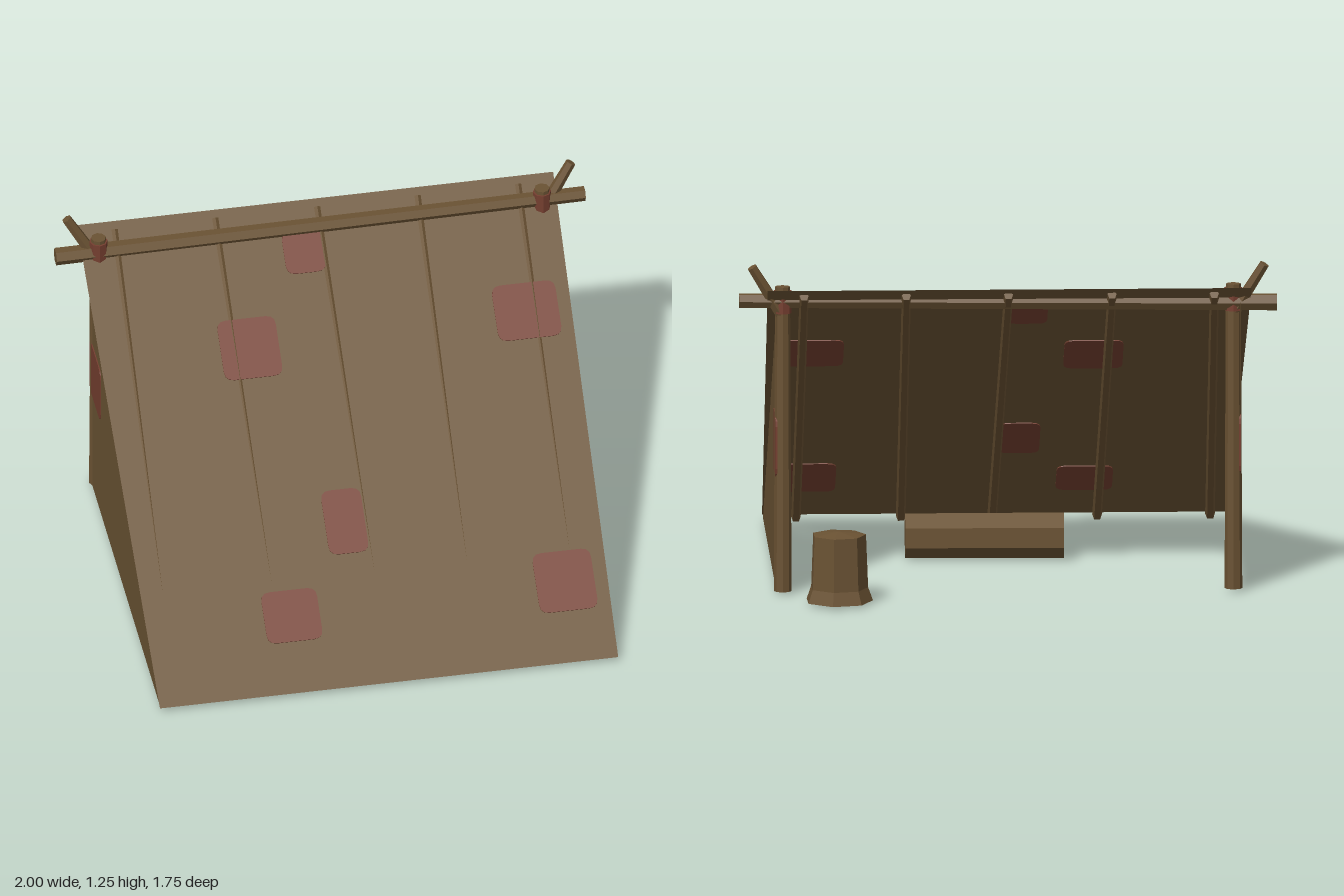
import * as THREE from 'three';

const mat = (name, color, side = THREE.FrontSide) =>
  Object.assign(new THREE.MeshStandardMaterial({ color, side, flatShading: true }), { name });

export function createModel() {
  const model = new THREE.Group();
  model.name = 'leanToShelter';
  const wood = mat('wood', 0x6a5233);
  const hide = mat('hide', 0x6b5434, THREE.DoubleSide);
  const red = mat('redStain', 0x753f30);

  const add = (name, geometry, material, parent = model) => {
    const mesh = new THREE.Mesh(geometry, material);
    mesh.name = name;
    parent.add(mesh);
    return mesh;
  };

  // Straight pole between two points
  const pole = (name, a, b, r0, r1 = r0, sides = 6, material = wood) => {
    const from = new THREE.Vector3(...a), to = new THREE.Vector3(...b);
    const dir = to.clone().sub(from);
    const mesh = add(name, new THREE.CylinderGeometry(r1, r0, dir.length(), sides), material);
    mesh.position.copy(from).add(to).multiplyScalar(0.5);
    mesh.quaternion.setFromUnitVectors(new THREE.Vector3(0, 1, 0), dir.normalize());
    return mesh;
  };

  const polygon = (pts) => new THREE.ShapeGeometry(new THREE.Shape(pts.map((p) => new THREE.Vector2(...p))));

  // Thin rounded patch, centred through the sheet it sits on
  const patch = (x0, x1, y0, y1, parent) => {
    const r = 0.035, s = new THREE.Shape();
    s.moveTo(x0 + r, y0);
    s.lineTo(x1 - r, y0).quadraticCurveTo(x1, y0, x1, y0 + r);
    s.lineTo(x1, y1 - r).quadraticCurveTo(x1, y1, x1 - r, y1);
    s.lineTo(x0 + r, y1).quadraticCurveTo(x0, y1, x0, y1 - r);
    s.lineTo(x0, y0 + r).quadraticCurveTo(x0, y0, x0 + r, y0);
    const g = new THREE.ExtrudeGeometry(s, { depth: 0.008, bevelEnabled: false, curveSegments: 3 });
    g.translate(0, 0, -0.004);
    add('patch', g, red, parent);
  };

  // Sloping roof sheet: local y runs up the slope
  const rise = 1.14, run = 1.5, slope = Math.hypot(rise, run);
  const roof = new THREE.Group();
  roof.name = 'roof';
  roof.position.set(0, 0.03, 0.865);
  roof.rotation.x = -Math.atan2(run, rise);
  model.add(roof);
  add('roofSheet', polygon([[-0.867, 0], [0.865, 0], [0.897, slope], [-0.903, slope]]), hide, roof);
  const up = (y) => ((y - 0.03) / rise) * slope;
  [[-0.44, -0.22, 0.77, 0.91], [0.6, 0.84, 0.79, 0.92], [-0.15, 0, 0.34, 0.49],
    [-0.43, -0.22, 0.15, 0.27], [0.6, 0.82, 0.15, 0.29], [-0.15, 0, 1.0, 1.1]]
    .forEach(([x0, x1, y0, y1]) => patch(x0, x1, up(y0), up(y1), roof));

  // Rafters just under the sheet, breaking through near the top
  [[-0.8, -0.765], [-0.38, -0.385], [0.01, 0], [0.35, 0.38], [0.74, 0.76]].forEach(([xb, xt]) =>
    pole('rafter', [xb, 0.022, 0.84], [xt, 1.143, -0.615], 0.019, 0.018, 5));

  // Ridge pole
  pole('ridgePole', [-1, 1.1, -0.55], [1, 1.118, -0.55], 0.033, 0.028, 6);

  for (const s of [-1, 1]) {
    // Triangular side wall with its stain
    const wall = new THREE.Group();
    wall.name = s > 0 ? 'leftWall' : 'rightWall';
    wall.position.x = s * 0.862;
    wall.rotation.y = Math.PI / 2;
    model.add(wall);
    add('wallSheet', polygon([[-0.85, 0.02], [0.58, 0.02], [0.608, 1.115]]), hide, wall);
    patch(0.36, 0.58, 0.45, 0.68, wall);

    // Forked post, bound where it meets the ridge
    pole('post', [s * 0.838, 0.02, -0.56], [s * 0.838, 1.17, -0.545], 0.033, 0.028, 8);
    pole('lashing', [s * 0.838, 1.07, -0.546], [s * 0.838, 1.155, -0.545], 0.034, 0.034, 8, red);
    pole('forkProng', [s * 0.845, 1.07, -0.55], [s * 0.953, 1.25, -0.577], 0.024, 0.019, 6);
  }

  // Stump behind the shelter
  const stump = add('stump', new THREE.LatheGeometry([[0, 0], [0.128, 0], [0.11, 0.05], [0.102, 0.25], [0, 0.262]]
    .map((p) => new THREE.Vector2(...p)), 7), wood);
  stump.position.set(0.637, 0.02, -0.755);
  stump.rotation.y = 0.25;

  // Log seat under the roof
  pole('log', [-0.23, 0.1, 0.09], [0.36, 0.1, 0.1], 0.088, 0.086, 7);

  return model;
}
